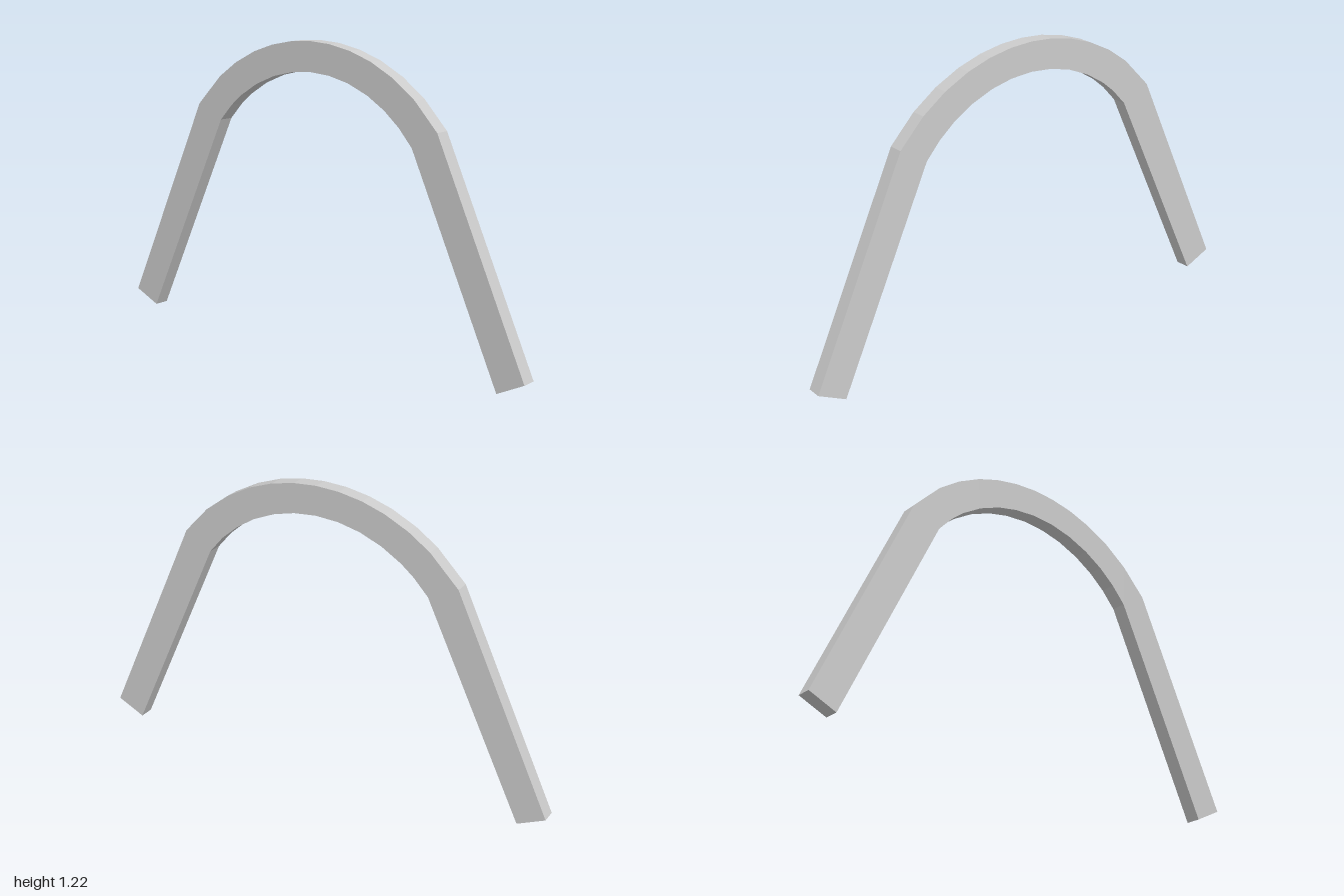
import * as THREE from 'three';

// Points on a circle arc, taken at the given x positions
function arcPoints(xs, radius, centreY) {
  return xs.map((x) => new THREE.Vector2(x, centreY + Math.sqrt(radius * radius - x * x)));
}

export function createModel() {
  const group = new THREE.Group();
  group.name = 'bentArch';
  const material = new THREE.MeshStandardMaterial({ color: 0xcccccc, flatShading: true });
  const depth = 0.062;

  // Faceted curve of the bend, outside and inside
  const outer = arcPoints(
    [-0.6, -0.48, -0.39, -0.29, -0.195, -0.097, 0, 0.097, 0.195, 0.295, 0.4, 0.5, 0.603], 0.761, 0.462);
  const inner = arcPoints(
    [0.49, 0.43, 0.36, 0.28, 0.187, 0.096, 0, -0.096, -0.187, -0.28, -0.364, -0.417, -0.478], 0.6125, 0.491);

  // Closed outline: left foot, outer curve, right foot, inner curve
  const outline = new THREE.Shape([
    new THREE.Vector2(-0.885, 0.018),
    new THREE.Vector2(-1, 0.07),
    ...outer,
    new THREE.Vector2(1, 0.057),
    new THREE.Vector2(0.883, 0),
    ...inner,
  ]);

  const geometry = new THREE.ExtrudeGeometry(outline, { depth, bevelEnabled: false });
  geometry.translate(0, 0, -depth / 2);
  const bar = new THREE.Mesh(geometry, material);
  bar.name = 'bentBar';
  group.add(bar);
  return group;
}
